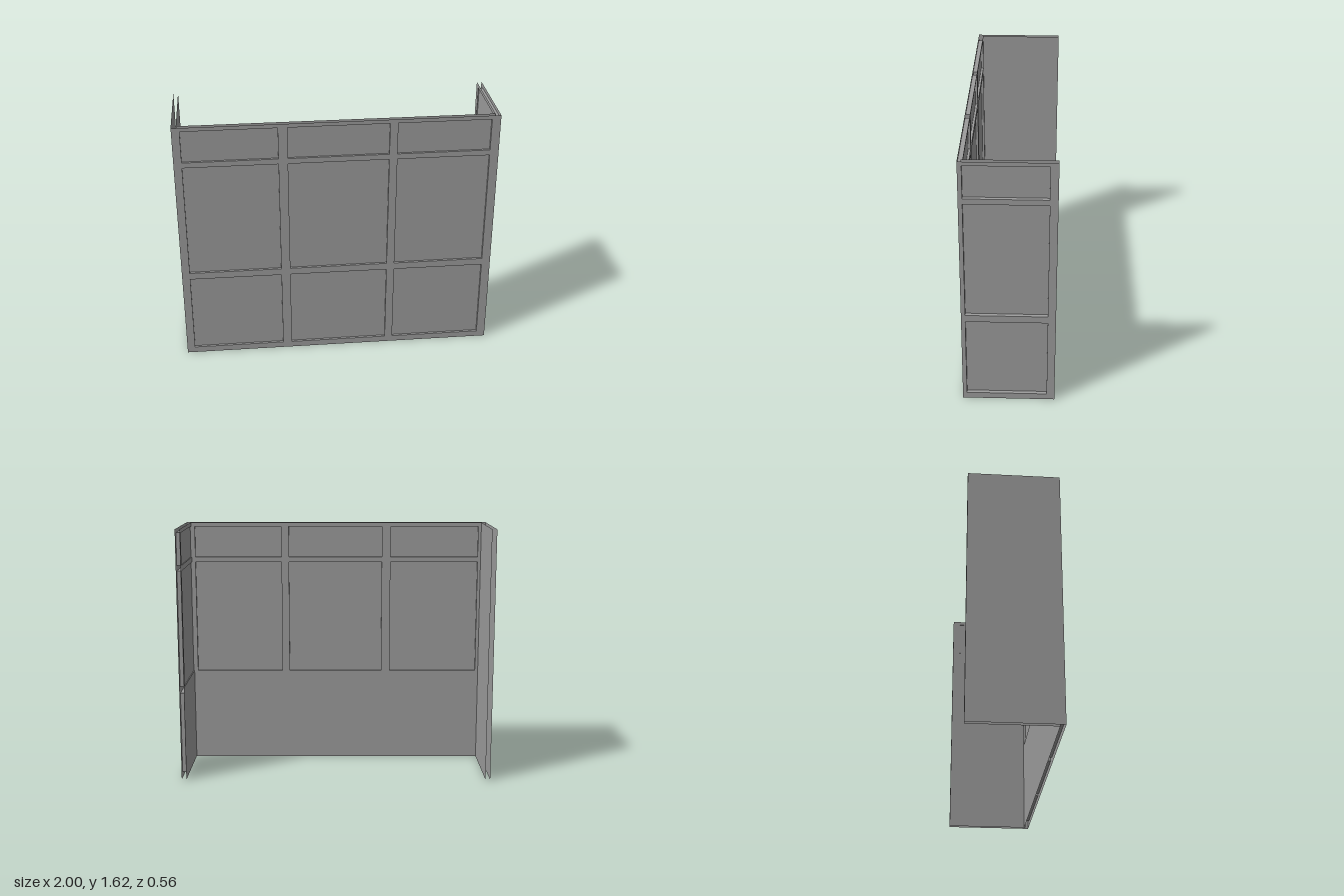
import * as THREE from 'three';

const HEIGHT = 1.62, HALF_W = 1, HALF_D = 0.28, THICK = 0.03;
// Vertical extents of the panel rows: base panel, window, top light
const ROWS = [[0.04, 0.565], [0.61, 1.355], [1.39, 1.595]];

const material = new THREE.MeshStandardMaterial({ color: 0x9c9c9c, flatShading: true, side: THREE.DoubleSide });

function addMesh(parent, geometry, name, z = 0) {
  const mesh = new THREE.Mesh(geometry, material);
  mesh.name = name;
  mesh.position.z = z;
  parent.add(mesh);
}

function rect(Type, x0, x1, y0, y1) {
  return new Type([[x0, y0], [x1, y0], [x1, y1], [x0, y1]].map(p => new THREE.Vector2(...p)));
}

// Thin sheet pierced by rectangular openings
function sheet(x0, x1, openings) {
  const shape = rect(THREE.Shape, x0, x1, 0, HEIGHT);
  openings.forEach(o => shape.holes.push(rect(THREE.Path, ...o)));
  return new THREE.ShapeGeometry(shape);
}

// Four-sided tube lining an opening, from zBack to zFront
function lining([x0, x1, y0, y1], zBack, zFront) {
  const corners = [[x0, y0], [x1, y0], [x1, y1], [x0, y1]];
  const pos = [];
  corners.forEach((a, i) => {
    const b = corners[(i + 1) % 4];
    pos.push(...a, zBack, ...b, zFront, ...b, zBack, ...a, zBack, ...a, zFront, ...b, zFront);
  });
  const g = new THREE.BufferGeometry();
  g.setAttribute('position', new THREE.Float32BufferAttribute(pos, 3));
  g.computeVertexNormals();
  return g;
}

// Hollow wall facing local +z: outer and inner skins, linings and recessed panes
function wall(name, half, inner0, inner1, columns = [], paneDepth = THICK / 2) {
  const group = new THREE.Group();
  group.name = name;
  const openings = [], through = [];
  columns.forEach(c => ROWS.forEach((r, i) => {
    const o = [...c, ...r];
    openings.push(o);
    if (i > 0) through.push(o); // the base panels are blind on the inside
  }));
  addMesh(group, sheet(-half, half, openings), 'outerSkin');
  addMesh(group, sheet(inner0, inner1, through), 'innerSkin', -THICK);
  openings.forEach(o => {
    addMesh(group, lining(o, -THICK, 0), 'openingLining');
    addMesh(group, new THREE.ShapeGeometry(rect(THREE.Shape, ...o)),
      through.includes(o) ? 'windowPane' : 'basePanel', -paneDepth);
  });
  return group;
}

export function createModel() {
  const model = new THREE.Group();
  model.name = 'shopfront';

  // Glazed front
  const front = wall('frontWall', HALF_W, -HALF_W + THICK, HALF_W - THICK,
    [[-0.95, -0.365], [-0.307, 0.317], [0.367, 0.945]]);
  front.position.z = HALF_D;

  // Glazed side on +x; its inner skin tucks into the front wall, past the window edge
  const left = wall('glazedSideWall', HALF_D, -0.26, HALF_D, [[-0.255, 0.232]], 0.024);
  left.rotation.y = Math.PI / 2;
  left.position.x = HALF_W;

  // Plain side on -x
  const right = wall('plainSideWall', HALF_D, -HALF_D, HALF_D - THICK);
  right.rotation.y = -Math.PI / 2;
  right.position.x = -HALF_W;

  model.add(front, left, right);
  return model;
}
